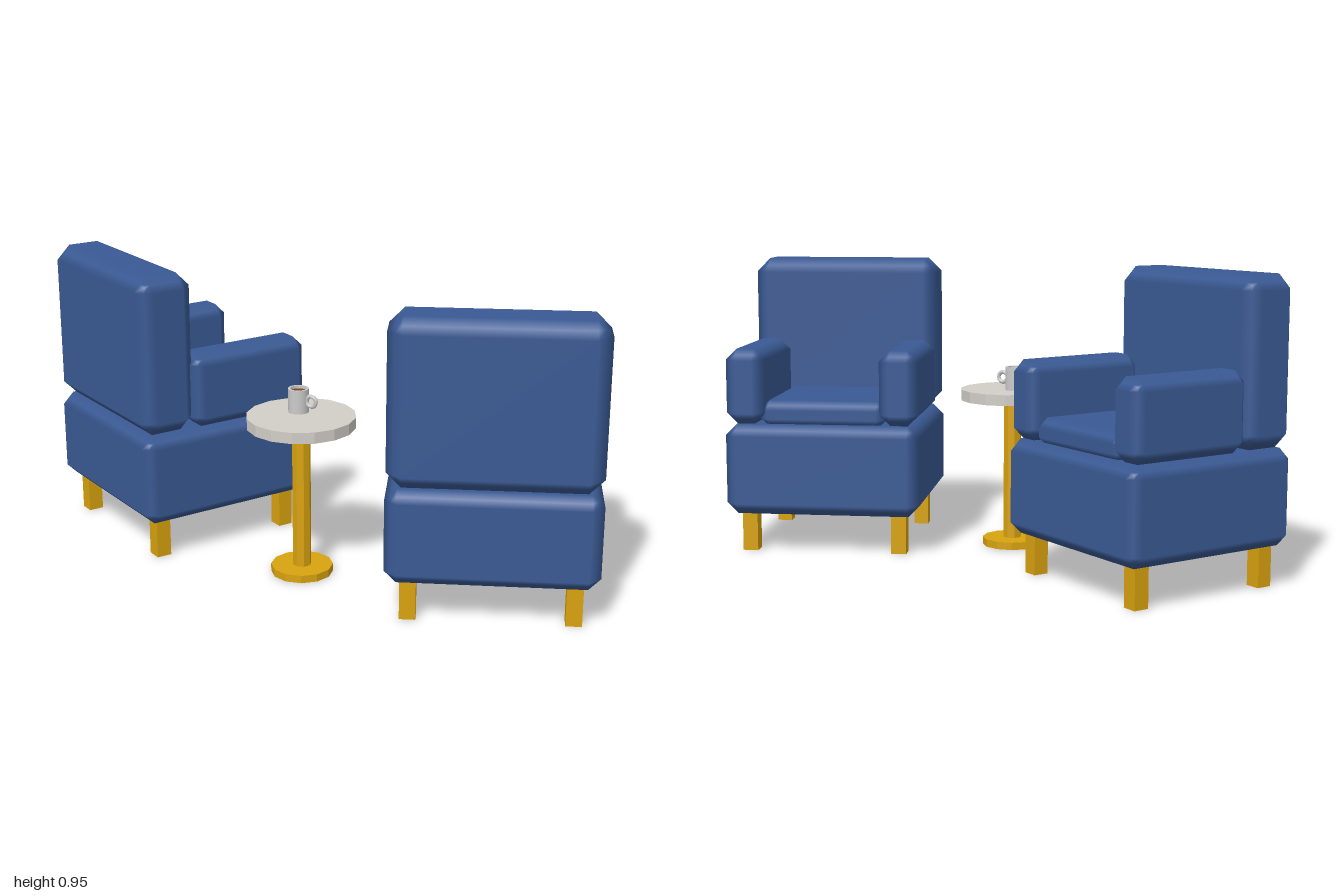
import * as THREE from 'three';

const mat = (color, flatShading = false) => new THREE.MeshStandardMaterial({ color, flatShading });
const fabric = mat(0x3a5a94);
const gold = mat(0xd9a30f, true);
const stone = mat(0xd2cec8, true);
const china = mat(0xcccccc);
const coffeeBrown = mat(0x7a4526);

function add(parent, name, geometry, material, x = 0, y = 0, z = 0) {
  const mesh = new THREE.Mesh(geometry, material);
  mesh.name = name;
  mesh.position.set(x, y, z);
  parent.add(mesh);
  return mesh;
}

// Box with a single soft-shaded chamfer c along every edge
function chamferBox(w, h, d, c) {
  const geo = new THREE.BoxGeometry(1, 1, 1, 3, 3, 3);
  const half = [w / 2, h / 2, d / 2];
  const pos = geo.attributes.position, nor = geo.attributes.normal;
  const cut = [0, 0, c / 2, c * 2 / 3]; // by number of faces meeting at the vertex
  for (let i = 0; i < pos.count; i++) {
    const v = [pos.getX(i), pos.getY(i), pos.getZ(i)];
    const outer = v.map((a) => Math.abs(a) > 0.4);
    const k = outer.filter(Boolean).length;
    const p = v.map((a, j) => Math.sign(a) * (half[j] - (outer[j] ? cut[k] : c)));
    const n = new THREE.Vector3(...v.map((a, j) => (outer[j] ? Math.sign(a) : 0))).normalize();
    pos.setXYZ(i, ...p);
    nor.setXYZ(i, n.x, n.y, n.z);
  }
  return geo;
}

// Armchair with its backrest towards local +z
function armchair(name) {
  const chair = new THREE.Group();
  chair.name = name;
  add(chair, 'seatBase', chamferBox(0.645, 0.3, 0.626, 0.037), fabric, 0, 0.278, 0);
  add(chair, 'backrest', chamferBox(0.64, 0.522, 0.196, 0.046), fabric, 0, 0.69, 0.215);
  add(chair, 'seatCushion', chamferBox(0.42, 0.09, 0.42, 0.03), fabric, 0, 0.46, -0.07);
  for (const sx of [-1, 1]) {
    add(chair, 'armrest', chamferBox(0.13, 0.247, 0.43, 0.036), fabric, sx * 0.255, 0.552, -0.088);
    for (const sz of [-1, 1]) {
      add(chair, 'leg', new THREE.BoxGeometry(0.05, 0.14, 0.05), gold, sx * 0.25, 0.07, sz * 0.238);
    }
  }
  return chair;
}

// Round side table on a pedestal
function sideTable() {
  const table = new THREE.Group();
  table.name = 'sideTable';
  add(table, 'tableFoot', new THREE.CylinderGeometry(0.1, 0.1, 0.025, 12), gold, 0, 0.0125, 0);
  add(table, 'tablePost', new THREE.CylinderGeometry(0.03, 0.03, 0.48, 8), gold, 0, 0.26, 0);
  add(table, 'tableTop', new THREE.CylinderGeometry(0.174, 0.174, 0.036, 16), stone, 0, 0.514, 0);
  return table;
}

// Mug with hollow wall, ring handle and coffee
function mug() {
  const group = new THREE.Group();
  group.name = 'mug';
  const profile = [[0, 0], [0.033, 0], [0.033, 0.077], [0.026, 0.077], [0.026, 0.06]];
  // doubled points keep the rim and bottom edges sharp
  const wall = new THREE.LatheGeometry(
    profile.flatMap(([r, y]) => [new THREE.Vector2(r, y), new THREE.Vector2(r, y)]), 16);
  add(group, 'mugBody', wall, china);
  const surface = new THREE.CircleGeometry(0.0262, 16).rotateX(-Math.PI / 2);
  add(group, 'coffee', surface, coffeeBrown, 0, 0.068, 0);
  add(group, 'mugHandle', new THREE.TorusGeometry(0.017, 0.007, 6, 12), china, 0.047, 0.04, 0);
  return group;
}

export function createModel() {
  const model = new THREE.Group();
  model.name = 'loungeSet';

  // Mirrored pair of chairs, angled towards each other
  for (const side of [-1, 1]) {
    const chair = armchair(side > 0 ? 'leftArmchair' : 'rightArmchair');
    chair.position.x = side * 0.589;
    chair.rotation.y = side * THREE.MathUtils.degToRad(25);
    model.add(chair);
  }

  const table = sideTable();
  table.position.set(0.012, 0, 0.199);
  model.add(table);

  const cup = mug();
  cup.position.set(-0.013, 0.532, 0.174);
  model.add(cup);
  return model;
}
